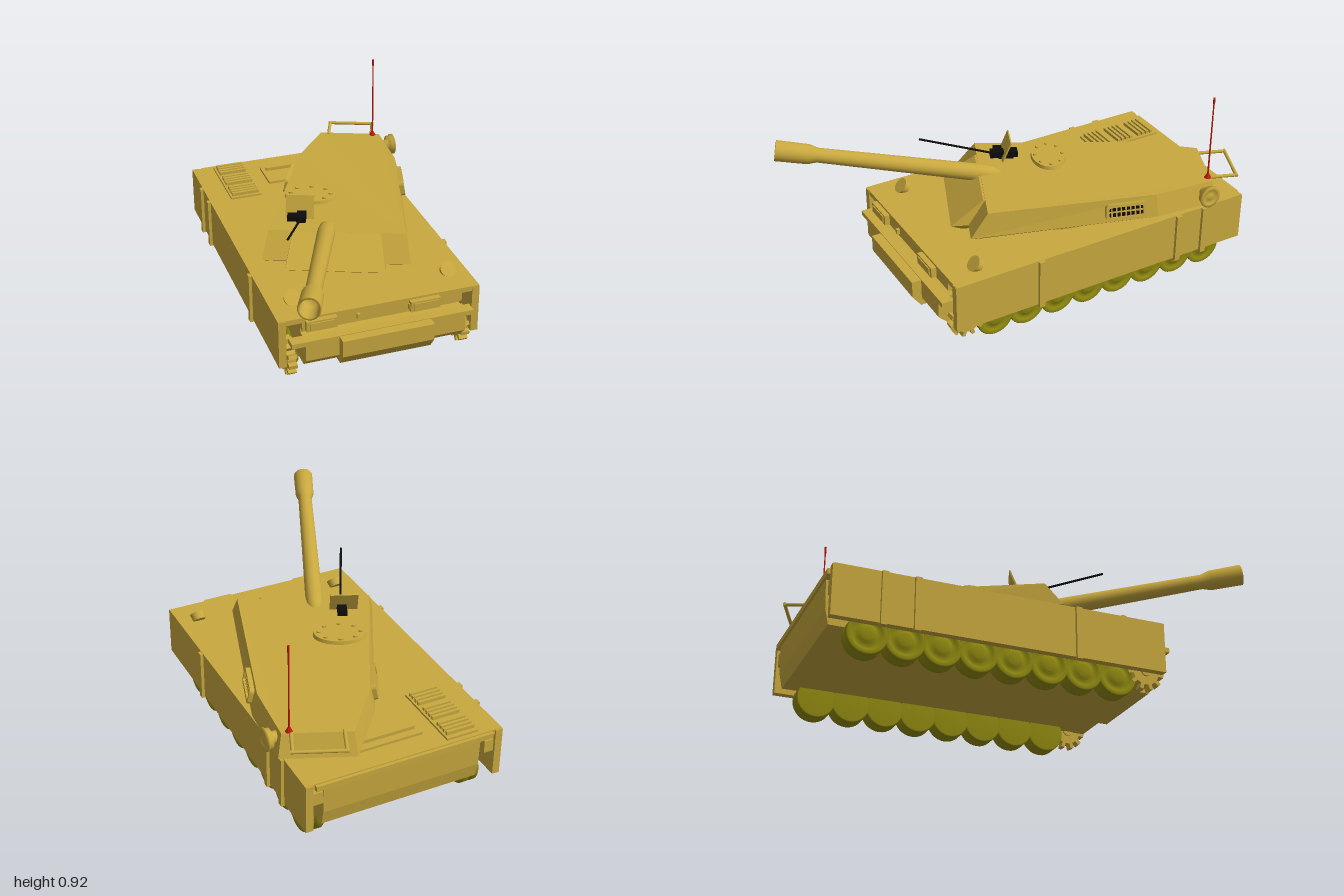
import * as THREE from 'three';

const mat = (name, color) => Object.assign(new THREE.MeshStandardMaterial({ color }), { name });

export function createModel() {
  const sand = mat('sand paint', 0xc8a83e);
  const olive = mat('wheel olive', 0x8f8810);
  const black = mat('black metal', 0x0c0c0c);
  const red = mat('red antenna', 0xc01a0c);

  const model = new THREE.Group();
  model.name = 'tank';
  const hull = new THREE.Group();
  hull.name = 'hull';
  const turret = new THREE.Group();
  turret.name = 'turret';
  turret.position.set(0.099, 0, -0.27);
  turret.rotation.y = -0.394;
  model.add(hull, turret);

  const add = (parent, name, geo, m, x = 0, y = 0, z = 0) => {
    const mesh = new THREE.Mesh(geo, m);
    mesh.name = name;
    mesh.position.set(x, y, z);
    parent.add(mesh);
    return mesh;
  };
  // box from its limits
  const box = (parent, name, x0, x1, y0, y1, z0, z1, m = sand) =>
    add(parent, name, new THREE.BoxGeometry(x1 - x0, y1 - y0, z1 - z0), m, (x0 + x1) / 2, (y0 + y1) / 2, (z0 + z1) / 2);
  // side profile of [z, y] points, extruded across x
  const profile = (name, pts, x0, x1) => {
    const shape = new THREE.Shape(pts.map(p => new THREE.Vector2(...p)));
    const geo = new THREE.ExtrudeGeometry(shape, { depth: x1 - x0, bevelEnabled: false });
    geo.rotateY(-Math.PI / 2);
    return add(hull, name, geo, sand, x1);
  };
  // faceted solid through rings of points, each ring counter-clockwise from above
  const loft = rings => {
    const v = [], n = rings[0].length;
    const tri = (...p) => p.forEach(q => v.push(...q));
    for (let k = 0; k + 1 < rings.length; k++) {
      for (let i = 0; i < n; i++) {
        const j = (i + 1) % n, lo = rings[k], hi = rings[k + 1];
        tri(lo[i], lo[j], hi[j]);
        tri(lo[i], hi[j], hi[i]);
      }
    }
    const bot = rings[0], top = rings[rings.length - 1];
    for (let i = 1; i + 1 < n; i++) {
      tri(bot[0], bot[i + 1], bot[i]);
      tri(top[0], top[i], top[i + 1]);
    }
    const geo = new THREE.BufferGeometry();
    geo.setAttribute('position', new THREE.Float32BufferAttribute(v, 3));
    geo.computeVertexNormals();
    return geo;
  };
  // symmetric ring from [half width, y, z], front to rear
  const ring = pts => [...pts, ...[...pts].reverse().map(([x, y, z]) => [-x, y, z])];
  // rod between two points
  const rod = (parent, name, a, b, r, m, r2 = r) => {
    const p = new THREE.Vector3(...a), q = new THREE.Vector3(...b), d = q.clone().sub(p);
    const mesh = add(parent, name, new THREE.CylinderGeometry(r2, r, d.length(), 16), m);
    mesh.position.copy(p).add(q).multiplyScalar(0.5);
    mesh.quaternion.setFromUnitVectors(new THREE.Vector3(0, 1, 0), d.normalize());
    return mesh;
  };
  // lathe turned around the x axis, [radius, x] points
  const wheelGeo = pts => new THREE.LatheGeometry(pts.map(p => new THREE.Vector2(...p)), 32).rotateZ(-Math.PI / 2);

  // Hull body, deck and nose
  profile('hullBody', [[-0.95, 0.13], [0.56, 0.13], [0.6, 0.17], [0.6, 0.265], [0.52, 0.27], [0.52, 0.295],
    [0.55, 0.295], [0.55, 0.35], [-0.97, 0.35], [-0.965, 0.2]], -0.372, 0.372);
  profile('nose', [[0.55, 0.13], [0.605, 0.13], [0.645, 0.185], [0.645, 0.265], [0.55, 0.265]], -0.22, 0.205);
  box(hull, 'deck', -0.48, 0.455, 0.335, 0.36, -0.965, 0.55);
  box(hull, 'rearLip', -0.43, 0.41, 0.33, 0.355, -0.98, -0.95);
  box(hull, 'frontLip', -0.435, 0.41, 0.245, 0.268, 0.545, 0.6);

  // Deck fittings at the front
  for (const x of [-0.29, 0.19]) {
    box(hull, 'lampHousing', x - 0.07, x + 0.07, 0.3, 0.35, 0.54, 0.575);
    box(hull, 'lampFace', x - 0.055, x + 0.055, 0.308, 0.342, 0.57, 0.58);
    box(hull, 'towHook', x * 0.5 + 0.02, x * 0.5 + 0.035, 0.31, 0.335, 0.54, 0.565);
  }
  for (const x of [-0.375, 0.36]) {
    const lamp = add(hull, 'headlight', new THREE.CylinderGeometry(0.037, 0.03, 0.035, 28), sand, x, 0.376, 0.405);
    lamp.rotation.x = 0.85;
  }

  // Side skirts with straps, road wheels and sprockets
  const tyre = wheelGeo([[0, -0.045], [0.085, -0.045], [0.09, -0.038], [0.09, -0.008], [0.07, -0.008], [0.07, 0.008],
    [0.09, 0.008], [0.09, 0.038], [0.085, 0.043], [0.066, 0.043], [0.066, 0.034], [0.045, 0.034], [0.045, 0.04],
    [0.03, 0.04], [0.03, 0.046], [0, 0.046]].map(([r, x]) => [r, x * 0.95]));
  for (const s of [-1, 1]) {
    const cx = -0.0125;
    const X = (a, b) => (s > 0 ? [cx + a, cx + b] : [cx - b, cx - a]);
    box(hull, 'skirt', ...X(0.433, 0.4675), 0.125, 0.358, -0.972, 0.553);
    for (const z of [0.13, -0.605, -0.75]) {
      box(hull, 'skirtStrap', ...X(0.465, 0.482), 0.115, 0.358, z - 0.014, z + 0.014);
    }
    box(hull, 'tailLamp', ...X(0.385, 0.43), 0.25, 0.31, -0.965, -0.92);
    for (let i = 0; i < 8; i++) {
      const wheel = add(hull, 'roadWheel', tyre, olive, cx + s * 0.38, 0.091, 0.335 - i * 0.162);
      if (s < 0) wheel.rotation.y = Math.PI;
    }
    const sprocket = new THREE.Group();
    sprocket.name = 'sprocket';
    sprocket.position.set(cx + s * 0.405, 0.135, 0.475);
    hull.add(sprocket);
    add(sprocket, 'sprocketDisc', new THREE.CylinderGeometry(0.064, 0.064, 0.04, 24).rotateZ(Math.PI / 2), sand);
    add(sprocket, 'sprocketHub', new THREE.CylinderGeometry(0.025, 0.025, 0.055, 16).rotateZ(Math.PI / 2), sand);
    for (let i = 0; i < 11; i++) {
      const a = (i / 11) * Math.PI * 2;
      const tooth = add(sprocket, 'tooth', new THREE.BoxGeometry(0.04, 0.028, 0.017), sand, 0, 0.073 * Math.cos(a), 0.073 * Math.sin(a));
      tooth.rotation.x = a;
    }
  }

  // Engine deck: slatted vents and an access hatch
  box(hull, 'ventBase', -0.375, -0.22, 0.355, 0.37, -0.945, -0.585);
  for (let i = 0; i < 3; i++) {
    for (let k = 0; k < 4; k++) {
      const z = -0.925 + i * 0.12 + k * 0.024;
      box(hull, 'ventSlat', -0.365, -0.23, 0.365, 0.386, z, z + 0.014);
    }
  }
  box(hull, 'engineHatch', -0.15, 0.2, 0.355, 0.372, -0.86, -0.685);
  box(hull, 'hatchHandle', -0.13, 0.2, 0.37, 0.388, -0.825, -0.805);

  // Turret shell and front wedge
  add(turret, 'turretRing', new THREE.CylinderGeometry(0.25, 0.25, 0.03, 40), sand, 0, 0.37, 0.1);
  add(turret, 'turretShell', loft([
    ring([[0.29, 0.368, 0.48], [0.225, 0.38, -0.31], [0.13, 0.4, -0.6]]),
    ring([[0.337, 0.4, 0.53], [0.264, 0.405, -0.335], [0.165, 0.405, -0.645]]),
    ring([[0.312, 0.513, 0.45], [0.24, 0.508, -0.325], [0.15, 0.504, -0.605]]),
  ]), sand);
  add(turret, 'frontWedge', loft([
    ring([[0.2, 0.368, 0.56], [0.2, 0.368, 0.3]]),
    ring([[0.225, 0.4, 0.61], [0.225, 0.4, 0.3]]),
    ring([[0.2, 0.512, 0.46], [0.2, 0.512, 0.3]]),
  ]), sand);

  // Main gun with a hollow flared muzzle
  const gun = add(turret, 'mainGun', new THREE.LatheGeometry([[0, -0.03], [0.025, -0.02], [0.038, 0.02], [0.041, 0.08],
    [0.034, 0.83], [0.046, 0.87], [0.048, 1.02], [0.04, 1.02], [0.036, 0.9], [0, 0.9]].map(p => new THREE.Vector2(...p)), 32),
  sand, -0.05, 0.492, 0.375);
  gun.rotation.x = Math.PI / 2 - 0.197;

  // Roof hatch with bolts
  const hatch = new THREE.Group();
  hatch.name = 'roofHatch';
  hatch.position.set(-0.146, 0.516, 0.115);
  hatch.scale.set(1, 1, 0.68);
  turret.add(hatch);
  add(hatch, 'hatchLid', new THREE.CylinderGeometry(0.118, 0.124, 0.022, 40), sand);
  for (let i = 0; i < 8; i++) {
    const a = (i / 8) * Math.PI * 2;
    add(hatch, 'hatchBolt', new THREE.CylinderGeometry(0.011, 0.011, 0.008, 10), sand, 0.095 * Math.cos(a), 0.014, 0.095 * Math.sin(a));
  }

  // Machine gun and shield
  box(turret, 'gunMount', -0.19, -0.15, 0.505, 0.535, 0.28, 0.35, black);
  box(turret, 'gunBody', -0.192, -0.148, 0.52, 0.548, 0.26, 0.39, black);
  box(turret, 'ammoBox', -0.235, -0.185, 0.515, 0.54, 0.33, 0.37, black);
  rod(turret, 'gunBarrel', [-0.17, 0.537, 0.38], [-0.197, 0.62, 0.72], 0.005, black);
  const shield = add(turret, 'gunShield', new THREE.BoxGeometry(0.13, 0.108, 0.007), sand, -0.18, 0.562, 0.315);
  shield.rotation.x = -0.38;

  // Side vents
  const rounded = (P, w, h, r) => {
    const p = new P();
    p.absarc(w - r, h - r, r, 0, Math.PI / 2);
    p.absarc(-w + r, h - r, r, Math.PI / 2, Math.PI);
    p.absarc(-w + r, -h + r, r, Math.PI, Math.PI * 1.5);
    p.absarc(w - r, -h + r, r, Math.PI * 1.5, Math.PI * 2);
    p.closePath();
    return p;
  };
  const frame = rounded(THREE.Shape, 0.095, 0.038, 0.018);
  frame.holes.push(rounded(THREE.Path, 0.08, 0.024, 0.01));
  const frameGeo = new THREE.ExtrudeGeometry(frame, { depth: 0.022, bevelEnabled: false });
  for (const s of [-1, 1]) {
    const vent = new THREE.Group();
    vent.name = 'sideVent';
    vent.position.set(s * 0.264, 0.452, -0.18);
    vent.rotation.set(-0.2, s * (Math.PI / 2 + 0.087), 0, 'YXZ');
    turret.add(vent);
    add(vent, 'ventFrame', frameGeo, sand);
    box(vent, 'ventOpening', -0.082, 0.082, -0.026, 0.026, 0, 0.009, black);
    for (let i = 0; i < 7; i++) {
      const x = -0.066 + i * 0.022;
      box(vent, 'ventBar', x - 0.003, x + 0.003, -0.025, 0.025, 0.005, 0.014);
    }
    box(vent, 'ventCrossBar', -0.08, 0.08, -0.003, 0.003, 0.005, 0.016);
  }

  // Rear rack: thin open frame
  for (const s of [-1, 1]) rod(turret, 'rackArm', [s * 0.11, 0.5, -0.59], [s * 0.11, 0.503, -0.73], 0.008, sand);
  rod(turret, 'rackRail', [-0.118, 0.503, -0.73], [0.118, 0.503, -0.73], 0.008, sand);

  // Round side lamp
  add(model, 'sideLamp', wheelGeo([[0, -0.06], [0.026, -0.06], [0.026, -0.01], [0.045, -0.008], [0.045, 0.012],
    [0.052, 0.012], [0.052, 0.022], [0.036, 0.022], [0.036, 0.015], [0.016, 0.015], [0.016, 0.02], [0, 0.02]]),
  sand, 0.507, 0.46, -0.725);

  // Antenna
  add(model, 'antennaBase', new THREE.CylinderGeometry(0.006, 0.016, 0.02, 16), red, 0.435, 0.515, -0.772);
  rod(model, 'antennaRod', [0.435, 0.51, -0.772], [0.435, 0.9, -0.772], 0.004, red, 0.003);
  rod(model, 'antennaTip', [0.435, 0.89, -0.772], [0.435, 0.922, -0.772], 0.005, red);
  return model;
}
